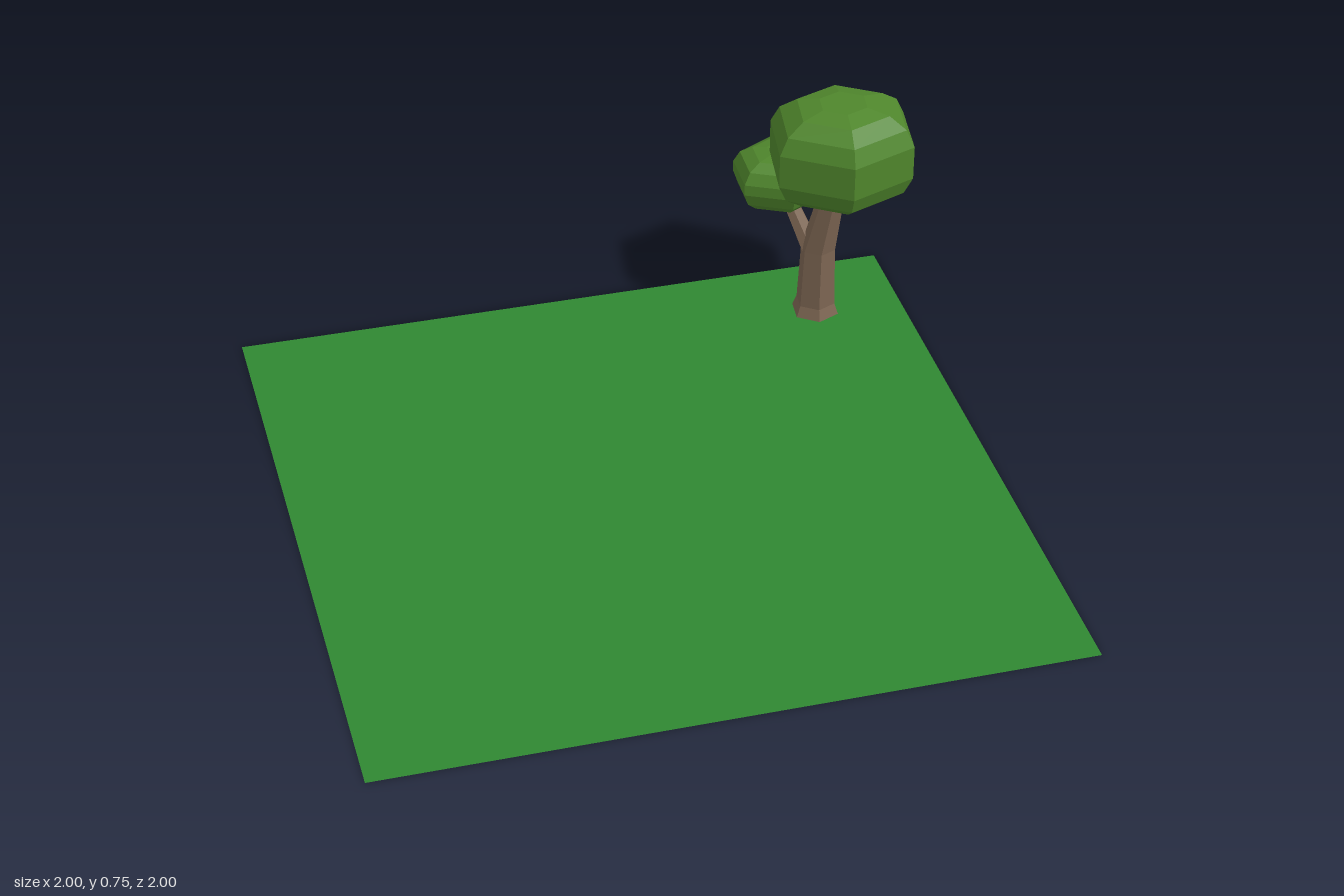
import * as THREE from 'three';

// Three corners of a six-sided outline; the other three are their opposites.
const hexagon = (half) => [...half, ...half.map(([x, z]) => [-x, -z])];

// Faceted loft: each ring is [x, y, z, scale] applied to the outline.
function loft(outline, rings) {
  const n = outline.length;
  const pts = rings.map(([x, y, z, s]) => outline.map(([ox, oz]) => [x + ox * s, y, z + oz * s]));
  const pos = [];
  const tri = (a, b, c) => pos.push(...a, ...b, ...c);
  for (let k = 0; k < pts.length - 1; k++) {
    for (let i = 0; i < n; i++) {
      const j = (i + 1) % n;
      const lo = pts[k], hi = pts[k + 1];
      tri(lo[i], hi[i], lo[j]);
      tri(lo[j], hi[i], hi[j]);
    }
  }
  const bottom = pts[0], top = pts[pts.length - 1];
  for (let i = 1; i < n - 1; i++) {
    tri(bottom[0], bottom[i], bottom[i + 1]);
    tri(top[0], top[i + 1], top[i]);
  }
  const geo = new THREE.BufferGeometry();
  geo.setAttribute('position', new THREE.Float32BufferAttribute(pos, 3));
  geo.computeVertexNormals();
  return geo;
}

function material(name, color) {
  const m = new THREE.MeshStandardMaterial({ color, flatShading: true });
  m.name = name;
  return m;
}

export function createModel() {
  const model = new THREE.Group();
  model.name = 'treeOnLawn';
  const grass = material('grassGreen', 0x2f8731);
  grass.side = THREE.DoubleSide;
  const leaf = material('leafGreen', 0x4f862c);
  const bark = material('barkBrown', 0x7c6552);

  const add = (name, geo, mat) => {
    const mesh = new THREE.Mesh(geo, mat);
    mesh.name = name;
    model.add(mesh);
  };

  // Lawn
  add('lawn', new THREE.PlaneGeometry(2, 2).rotateX(-Math.PI / 2), grass);

  // Trunk with flared foot, leaning into the main crown
  const round = hexagon([[0.1, -0.99], [0.91, -0.41], [0.81, 0.59]]);
  add('trunk', loft(round, [
    [0.735, 0, -0.762, 0.074],
    [0.735, 0.035, -0.762, 0.061],
    [0.737, 0.23, -0.76, 0.054],
    [0.765, 0.44, -0.725, 0.039],
    [0.772, 0.52, -0.717, 0.034],
  ]), bark);

  // Side branch
  add('sideBranch', loft(round, [
    [0.727, 0.2, -0.772, 0.036],
    [0.667, 0.36, -0.843, 0.026],
    [0.655, 0.41, -0.855, 0.024],
  ]), bark);

  // Crowns: [height, scale] profiles
  const crown = (name, x, z, outline, profile) =>
    add(name, loft(outline, profile.map(([y, s]) => [x, y, z, s])), leaf);

  crown('mainCrown', 0.783, -0.711,
    hexagon([[0.0225, -0.203], [0.2135, -0.077], [0.183, 0.127]]),
    [[0.435, 0.33], [0.45, 0.64], [0.487, 0.88], [0.543, 1],
      [0.65, 1], [0.703, 0.88], [0.74, 0.64], [0.755, 0.33]]);

  crown('sideCrown', 0.648, -0.857,
    hexagon([[0.004, -0.143], [0.14, -0.075], [0.135, 0.069]]),
    [[0.357, 0.45], [0.368, 0.7], [0.395, 0.9], [0.435, 1],
      [0.47, 1], [0.505, 0.87], [0.525, 0.62], [0.532, 0.33]]);

  return model;
}
